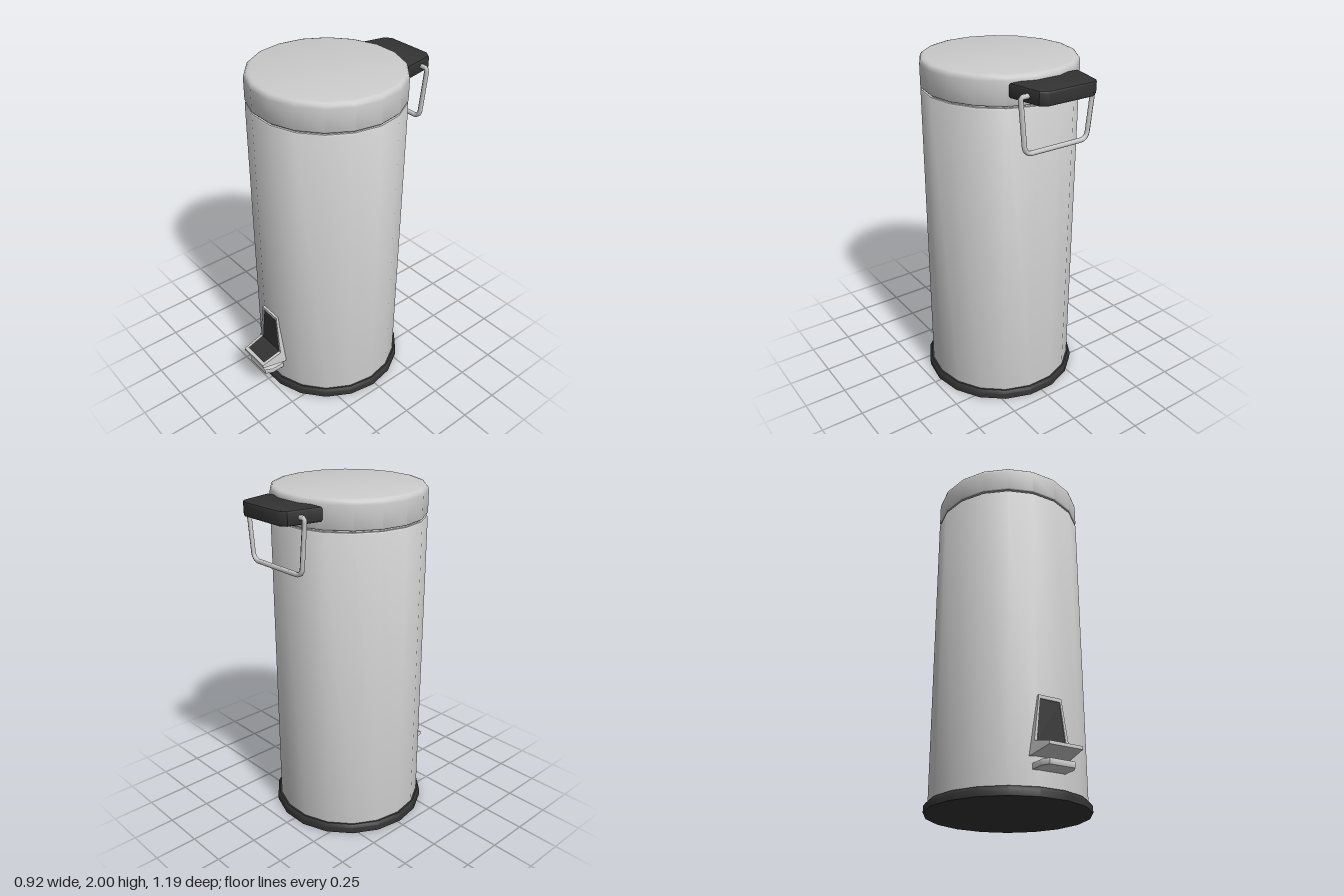
import * as THREE from 'three';
import { toCreasedNormals } from 'three/addons/utils/BufferGeometryUtils.js';

const SIDES = 18;
const steel = new THREE.MeshStandardMaterial({ color: 0xcccccc });
const dark = new THREE.MeshStandardMaterial({ color: 0x333333 });

const v2 = (list) => list.map(([x, y]) => new THREE.Vector2(x, y));

function mesh(name, geometry, material) {
  const m = new THREE.Mesh(geometry, material);
  m.name = name;
  return m;
}

// Turned part: profile of [radius, y] from bottom to top, a corner on the x axis
function turned(profile) {
  return toCreasedNormals(new THREE.LatheGeometry(v2(profile), SIDES, Math.PI / 2), 0.65);
}

// Horizontal slab from an outline of [x, z], between two heights, with bevelled edges
function slab(outline, y0, y1, bevel) {
  const g = new THREE.ExtrudeGeometry(new THREE.Shape(v2(outline)), {
    depth: y1 - y0 - 2 * bevel, bevelEnabled: true, bevelSize: bevel,
    bevelThickness: bevel, bevelOffset: -bevel, bevelSegments: 2,
  });
  g.rotateX(Math.PI / 2);
  g.translate(0, y1 - bevel, 0);
  return toCreasedNormals(g, 0.6);
}

// Half width of the pedal: narrow at the top, tapering slightly towards the toe
function pedalHalfWidth(y, z) {
  const t = THREE.MathUtils.clamp((0.54 - y) / 0.33, 0, 1);
  return 0.07 + 0.046 * t - 0.1 * Math.max(0, z - 0.465);
}

// Pedal piece: side profile of [z, y], spanning from a to b as fractions of the half width
function pedalPiece(profile, a, b) {
  const g = new THREE.ExtrudeGeometry(new THREE.Shape(v2(profile)), { depth: 1, bevelEnabled: false });
  const p = g.attributes.position;
  for (let i = 0; i < p.count; i++) {
    const z = p.getX(i), y = p.getY(i);
    const s = THREE.MathUtils.lerp(b, a, p.getZ(i));
    p.setXYZ(i, s * pedalHalfWidth(y, z), y, z);
  }
  g.computeVertexNormals();
  return g;
}

function createPedal() {
  const pedal = new THREE.Group();
  pedal.name = 'pedal';
  const rail = [[0.43, 0.54], [0.462, 0.54], [0.467, 0.285], [0.595, 0.25], [0.595, 0.232], [0.45, 0.21], [0.43, 0.21]];
  const inner = 0.84;
  pedal.add(
    mesh('pedalRailLeft', pedalPiece(rail, inner, 1), steel),
    mesh('pedalRailRight', pedalPiece(rail, -1, -inner), steel),
    mesh('pedalTopBar', pedalPiece([[0.43, 0.52], [0.462, 0.52], [0.462, 0.54], [0.43, 0.54]], -inner, inner), steel),
    mesh('pedalToe', pedalPiece([[0.43, 0.21], [0.45, 0.21], [0.595, 0.232], [0.595, 0.25], [0.577, 0.255], [0.577, 0.238], [0.43, 0.225]], -inner, inner), steel),
    mesh('pedalPad', pedalPiece([[0.43, 0.52], [0.456, 0.52], [0.461, 0.281], [0.577, 0.249], [0.577, 0.236], [0.43, 0.222]], -inner, inner), dark),
  );
  pedal.position.x = -0.004;
  return pedal;
}

// Wire bail: hooks into both sides of the grip and hangs down with rounded corners
function createBail() {
  const corners = [[-0.16, 1.925], [-0.232, 1.925], [-0.2, 1.623], [0.2, 1.623], [0.232, 1.925], [0.16, 1.925]]
    .map(([x, y]) => new THREE.Vector3(x, y, -0.497));
  const radii = [0, 0.015, 0.045, 0.045, 0.015, 0];
  const path = new THREE.CurvePath();
  const towards = (i, j) => corners[j].clone().sub(corners[i]).setLength(radii[i]).add(corners[i]);
  let from = corners[0];
  for (let i = 1; i < corners.length - 1; i++) {
    const a = towards(i, i - 1), b = towards(i, i + 1);
    path.add(new THREE.LineCurve3(from, a));
    path.add(new THREE.QuadraticBezierCurve3(a, corners[i], b));
    from = b;
  }
  path.add(new THREE.LineCurve3(from, corners[corners.length - 1]));
  return mesh('wireBail', new THREE.TubeGeometry(path, 90, 0.0135, 6), steel);
}

export function createModel() {
  const model = new THREE.Group();
  model.name = 'pedalBin';

  // Round parts share one axis
  const can = new THREE.Group();
  can.name = 'can';
  can.position.z = 0.017;
  can.add(
    mesh('baseRing', turned([[0, 0], [0.46, 0], [0.46, 0.036], [0.447, 0.053], [0, 0.053]]), dark),
    mesh('body', turned([[0.437, 0.05], [0.437, 1.82], [0.432, 1.828], [0.42, 1.828], [0.42, 1.842]]), steel),
    mesh('lid', turned([[0.415, 1.838], [0.432, 1.838], [0.437, 1.845], [0.437, 1.968],
      [0.433, 1.985], [0.424, 1.995], [0.408, 1.999], [0, 2]]), steel),
  );
  model.add(can);

  // Grip behind the lid
  const half = [[0.218, -0.375], [0.196, -0.49], [0.18, -0.568], [0.14, -0.595]];
  const outline = [...half, ...half.map(([x, z]) => [-x, z]).reverse()];
  const grip = mesh('grip', slab(outline, 1.885, 1.965, 0.012), dark);
  grip.position.x = -0.006;
  model.add(grip, createBail());

  // Foot pedal and the stop tab below it
  const tab = [[0.097, 0.42], [0.097, 0.525], [0.075, 0.565], [-0.075, 0.565], [-0.097, 0.525], [-0.097, 0.42]];
  const stop = mesh('stopTab', slab(tab, 0.14, 0.174, 0.003), steel);
  stop.position.x = -0.008;
  model.add(createPedal(), stop);

  return model;
}
